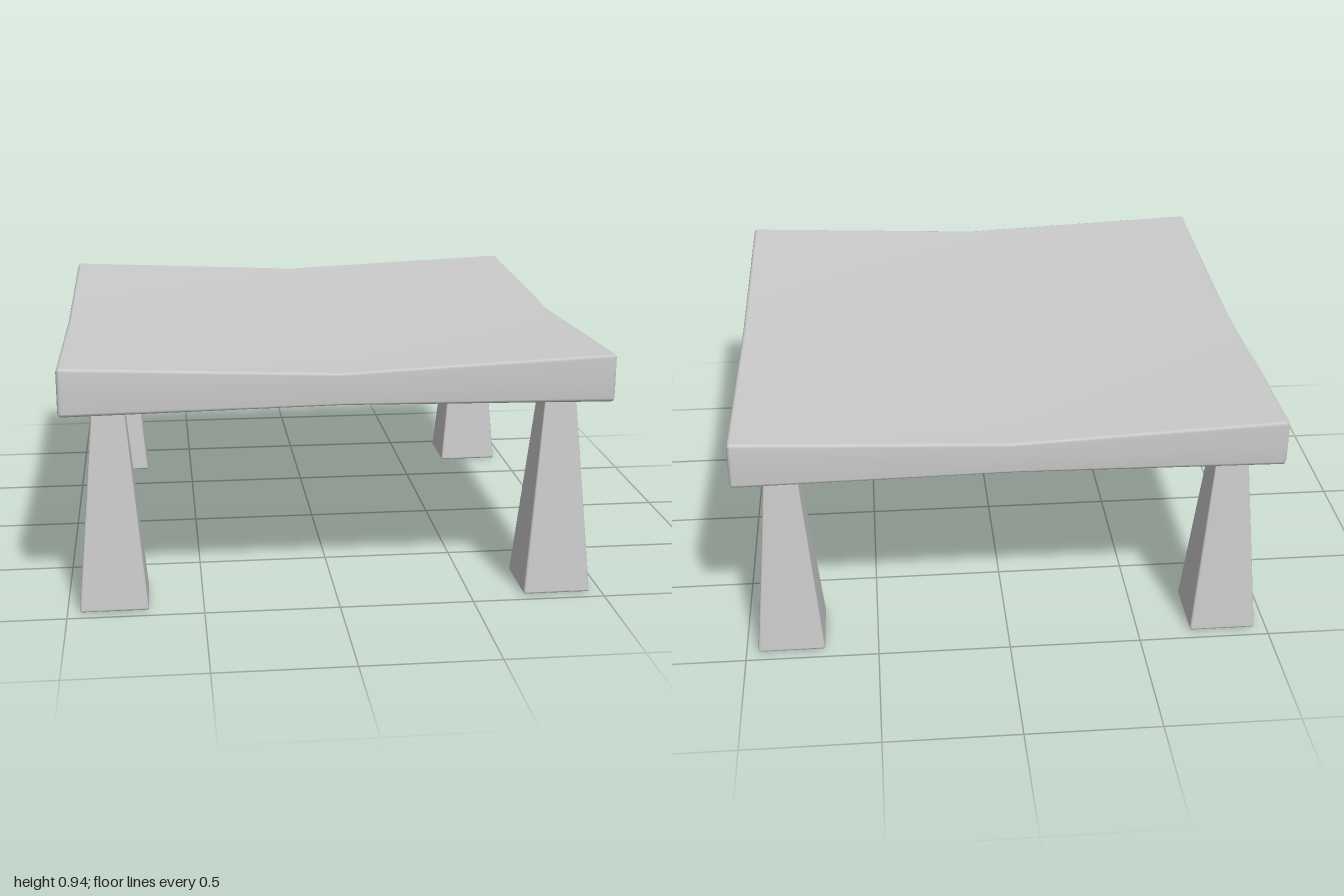
import * as THREE from 'three';
import { mergeVertices } from 'three/addons/utils/BufferGeometryUtils.js';

const material = new THREE.MeshStandardMaterial({ color: 0xcccccc });

// Box in -1..1 with softened edges of width r; each vertex is then placed by rule(x, y, z).
// The size h is the half extent used to keep the bevel width even on every axis.
function softBox(h, r, rule) {
  const box = new THREE.BoxGeometry(2, 2, 2, 4, 4, 4);
  box.deleteAttribute('uv');
  box.deleteAttribute('normal');
  const geo = mergeVertices(box);
  const pos = geo.attributes.position;
  const p = new THREE.Vector3(), inner = new THREE.Vector3();
  for (let i = 0; i < pos.count; i++) {
    p.fromBufferAttribute(pos, i);
    // Half-way rows move out to the bevel line, outer rows are rounded off
    inner.set(...['x', 'y', 'z'].map((a) => Math.sign(p[a]) * (h[a] - r)));
    const out = new THREE.Vector3(...['x', 'y', 'z'].map((a) => (Math.abs(p[a]) === 1 ? Math.sign(p[a]) : 0)));
    p.copy(inner).addScaledVector(out.normalize(), r);
    pos.setXYZ(i, ...rule(p.x / h.x, p.y / h.y, p.z / h.z));
  }
  geo.computeVertexNormals();
  return geo;
}

export function createModel() {
  const group = new THREE.Group();
  group.name = 'lowTable';

  // Dished top: highest at the corners, lower along mid-edges, lowest in the centre
  const blend = (corner, edge, centre, x, z) => {
    const a = Math.abs(x), b = Math.abs(z);
    return corner * a * b + edge * (a + b - 2 * a * b) + centre * (1 - a) * (1 - b);
  };
  const slab = new THREE.Mesh(
    softBox({ x: 1, y: 0.08, z: 1 }, 0.013, (x, y, z) => {
      const top = blend(0.937, 0.892, 0.872, x, z);
      const bottom = blend(0.757, 0.773, 0.78, x, z);
      return [x, bottom + (top - bottom) * (y + 1) / 2, z];
    }),
    material,
  );
  slab.name = 'tableTop';
  group.add(slab);

  // Four square legs, wide at the foot and tapering up into the top
  const legTop = 0.81;
  const legGeometry = softBox({ x: 0.127, y: legTop / 2, z: 0.127 }, 0.009, (x, y, z) => {
    const t = (y + 1) / 2;
    const half = 0.127 + (0.053 - 0.127) * t;
    return [x * half, t * legTop, z * half];
  });
  for (const sx of [-1, 1]) {
    for (const sz of [-1, 1]) {
      const leg = new THREE.Mesh(legGeometry, material);
      leg.name = (sz > 0 ? 'front' : 'back') + (sx > 0 ? 'Left' : 'Right') + 'Leg';
      leg.position.set(sx * 0.829, 0, sz * 0.829);
      group.add(leg);
    }
  }
  return group;
}
